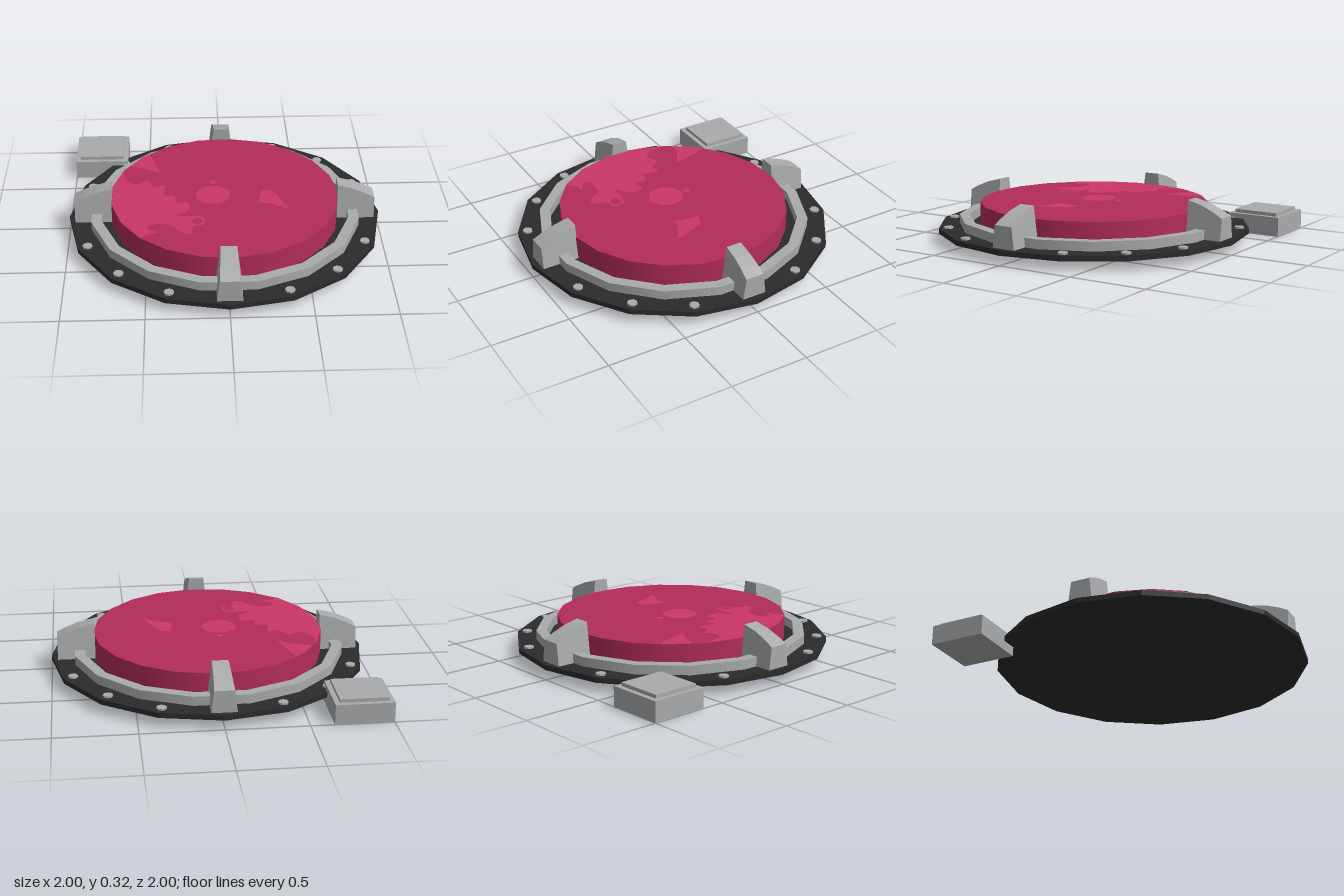
import * as THREE from 'three';
import { mergeGeometries } from 'three/addons/utils/BufferGeometryUtils.js';

export function createModel() {
  const model = new THREE.Group();
  const material = (name, color, side = THREE.FrontSide) => {
    const m = new THREE.MeshStandardMaterial({ color, side });
    m.name = name;
    return m;
  };
  const steel = material('steel', 0xa8aaac);
  const black = material('black', 0x2b2b2b);
  const crimson = material('crimson', 0xb22c59);
  const pink = material('pink', 0xcc3767, THREE.DoubleSide);

  const add = (name, geometry, mat, x = 0, y = 0, z = 0, parent = model) => {
    const mesh = new THREE.Mesh(geometry, mat);
    mesh.name = name;
    mesh.position.set(x, y, z);
    parent.add(mesh);
    return mesh;
  };
  const flat = (g) => {
    const out = g.index ? g.toNonIndexed() : g;
    out.computeVertexNormals();
    return out;
  };

  // Sixteen-sided base plate
  add('basePlate', flat(new THREE.CylinderGeometry(1, 1, 0.032, 16)), black, 0, 0.076, 0);

  // Raised ring: outer wall, top and inner wall as separate bands for sharp edges
  const profile = [[0.867, 0.09], [0.867, 0.15], [0.8, 0.15], [0.8, 0.09]]
    .map(([r, y]) => new THREE.Vector2(r, y));
  const bands = [0, 1, 2].map((i) =>
    new THREE.LatheGeometry([profile[i], profile[i + 1]], 16, Math.PI / 16));
  add('raisedRing', mergeGeometries(bands), steel);

  // Central disc
  add('disc', new THREE.CylinderGeometry(0.73, 0.73, 0.15, 21, 1, false, Math.PI / 2),
    crimson, 0, 0.165, 0);

  // Four tapering clamps
  const clampShape = new THREE.Shape(
    [[0.722, 0.09], [0.96, 0.09], [0.96, 0.23], [0.9, 0.262], [0.82, 0.295], [0.722, 0.32]]
      .map(([x, y]) => new THREE.Vector2(x, y)));
  const clampGeometry = new THREE.ExtrudeGeometry(clampShape, { depth: 2, bevelEnabled: false });
  clampGeometry.translate(0, 0, -1);
  const p = clampGeometry.attributes.position;
  for (let i = 0; i < p.count; i++) {
    const halfWidth = THREE.MathUtils.mapLinear(p.getY(i), 0.09, 0.32, 0.078, 0.05);
    p.setZ(i, p.getZ(i) * halfWidth);
  }
  flat(clampGeometry);
  for (let i = 0; i < 4; i++) {
    add('clamp', clampGeometry, steel).rotation.y = i * Math.PI / 2;
  }

  // Three bolts in each quarter
  const boltGeometry = flat(new THREE.CylinderGeometry(0.031, 0.031, 0.03, 8));
  for (let i = 0; i < 16; i++) {
    if (i % 4 === 0) continue;
    const a = i * Math.PI / 8;
    add('bolt', boltGeometry, steel, 0.938 * Math.cos(a), 0.088, 0.938 * Math.sin(a));
  }

  // Corner block with a stepped lid
  const block = new THREE.Group();
  block.name = 'cornerBlock';
  block.position.set(-0.822, 0, -0.822);
  model.add(block);
  add('blockBody', new THREE.BoxGeometry(0.356, 0.125, 0.356), steel, 0, 0.0625, 0, block);
  add('blockLid', new THREE.BoxGeometry(0.295, 0.022, 0.295), steel, 0, 0.136, 0, block);

  // Pale splashes on the disc, given as x and z
  const splash = (name, shape) =>
    add(name, new THREE.ShapeGeometry(shape, 20), pink, 0, 0.2425, 0).rotation.x = -Math.PI / 2;
  const points = (list) => list.map(([x, z]) => new THREE.Vector2(x, -z));
  const circle = (x, z, r) => new THREE.Shape().absarc(x, -z, r, 0, Math.PI * 2);

  splash('roundSplash', circle(-0.075, 0.01, 0.11));
  splash('dropSplash', circle(-0.067, -0.145, 0.022));
  splash('sideSplash', new THREE.Shape(points(
    [[0.24, -0.045], [0.32, -0.015], [0.4, 0.2], [0.29, 0.13], [0.215, 0.115]])));
  splash('shardSplash', new THREE.Shape(points(
    [[-0.535, -0.49], [-0.49, -0.53], [-0.41, -0.27], [-0.53, -0.34], [-0.62, -0.37]])));

  const shore = points([[-0.66, -0.305], [-0.63, -0.17], [-0.56, -0.14], [-0.5, -0.17],
    [-0.45, -0.1], [-0.38, -0.11], [-0.39, 0], [-0.32, 0.02], [-0.31, 0.1], [-0.24, 0.09],
    [-0.23, 0.19], [-0.31, 0.25], [-0.22, 0.26], [-0.14, 0.28], [-0.14, 0.36], [-0.2, 0.37],
    [-0.23, 0.46], [-0.3, 0.43], [-0.34, 0.36], [-0.46, 0.35], [-0.49, 0.4], [-0.42, 0.44],
    [-0.49, 0.46], [-0.53, 0.5]]);
  const rim = points([[-0.536, 0.495], [-0.654, 0.315], [-0.719, 0.108], [-0.719, -0.108]]);
  const large = new THREE.Shape([...new THREE.SplineCurve(shore).getPoints(92), ...rim]);
  large.holes.push(circle(-0.18, 0.32, 0.034));
  splash('largeSplash', large);

  return model;
}
